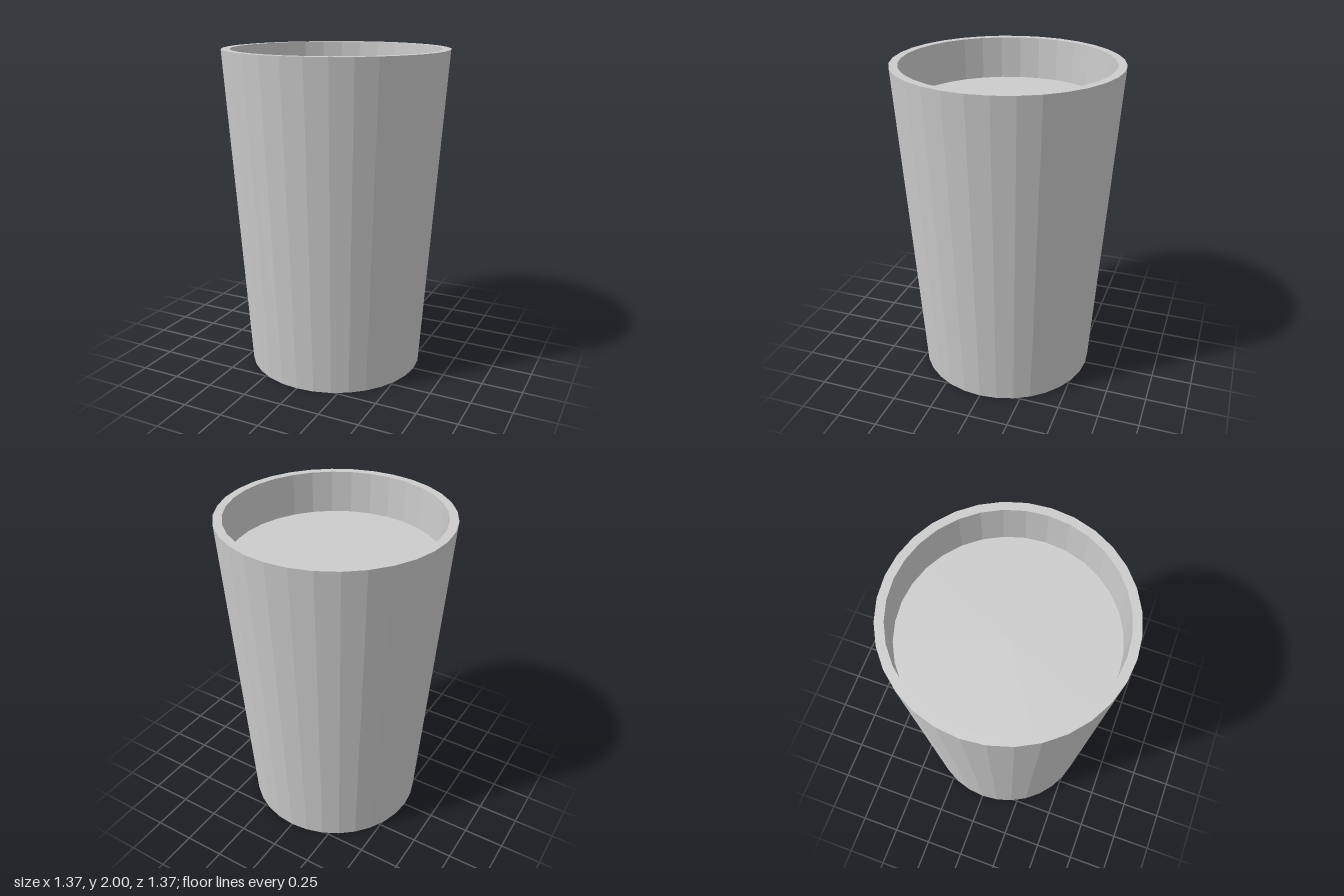
import * as THREE from 'three';

const SIDES = 32;

export function createModel() {
  const group = new THREE.Group();
  group.name = 'cup';
  const material = new THREE.MeshStandardMaterial({ color: 0xcccccc, flatShading: true, side: THREE.DoubleSide });

  // Tapered wall with a flat base, a flat rim and the inner wall down to the drink
  const profile = [[0, 0], [0.55, 0], [0.685, 2], [0.634, 2], [0.626, 1.74]]
    .map(([r, y]) => new THREE.Vector2(r, y));
  const cup = new THREE.Mesh(new THREE.LatheGeometry(profile, SIDES), material);
  cup.name = 'cupBody';
  group.add(cup);

  // Level surface of the drink, meeting the inner wall
  const surface = new THREE.CircleGeometry(0.626, SIDES).rotateX(-Math.PI / 2);
  const drink = new THREE.Mesh(surface, material);
  drink.name = 'drinkSurface';
  drink.position.y = 1.74;
  group.add(drink);

  return group;
}
